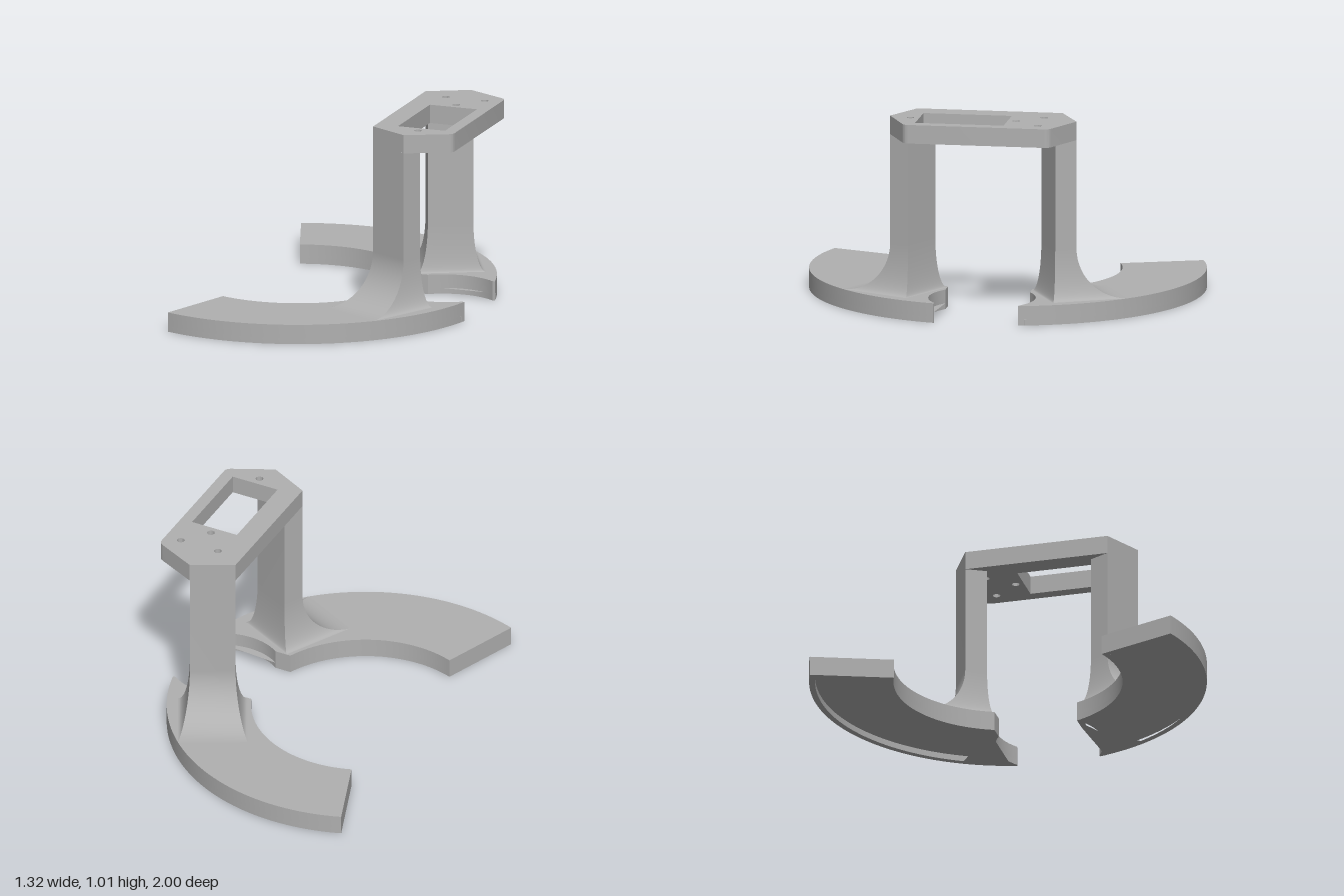
import * as THREE from 'three';
import { toCreasedNormals } from 'three/addons/utils/BufferGeometryUtils.js';

const grey = new THREE.MeshStandardMaterial({ color: 0xb0b0b0 });
grey.name = 'grey plastic';

const CX = -0.32;         // centre of the ring-shaped feet
const FOOT_TOP = 0.1, RECESS = 0.03;
const PLATE_BOTTOM = 0.915, PLATE_TOP = 1.01;

// Extrude an (x, z) shape between two heights
function slab(name, shape, y0, y1) {
  let g = new THREE.ExtrudeGeometry(shape, { depth: y1 - y0, bevelEnabled: false, curveSegments: 24 });
  g.rotateX(Math.PI / 2).translate(0, y1, 0);
  g = toCreasedNormals(g, Math.PI / 7);
  const m = new THREE.Mesh(g, grey);
  m.name = name;
  return m;
}

// Ring sector outline, inset by o; s = +1 or -1 picks the side
function footOutline(o, s) {
  const pts = [];
  const arc = (cx, cz, r, a0, a1, n) => {
    for (let i = 0; i <= n; i++) {
      const a = a0 + (a1 - a0) * i / n;
      pts.push(new THREE.Vector2(cx + r * Math.cos(a), s * (cz + r * Math.sin(a))));
    }
  };
  const R = 1 - o, r = 0.576 + o, zEnd = 0.215 + o, far = THREE.MathUtils.degToRad(110);
  const bite = 0.3 + o, b = Math.asin((zEnd + 0.03) / bite);
  arc(CX, 0, R, far - o / R, Math.asin(zEnd / R), 48);
  arc(0.47, -0.03, bite, b, Math.PI - b, 16);       // concave end
  arc(CX, 0, r, Math.asin(zEnd / r), far - o / r, 40);
  return pts;
}

// Rectangular post whose four sides sweep out into a fillet at the foot
function legGeometry(s) {
  const along = [0.89, 0.456], out = [-0.456, 0.89];
  const cx = 0.3525, cz = 0.3725, halfW = 0.115, halfD = 0.056;
  const START = 0.36, H = START - FOOT_TOP;
  const levels = [[PLATE_BOTTOM, 0]];
  for (let i = 0; i <= 14; i++) {
    const a = (Math.PI / 2) * i / 14;
    levels.push([START - H * Math.sin(a), 1 - Math.cos(a)]);
  }
  const ring = (f) => {
    const w = halfW + 0.06 * f, o = halfD + 0.25 * f, n = -halfD - 0.03 * f;
    return [[-w, o], [w, o], [w, n], [-w, n]].map(([u, v]) =>
      [cx + along[0] * u + out[0] * v, s * (cz + along[1] * u + out[1] * v)]);
  };
  const pos = [], idx = [];
  for (let side = 0; side < 4; side++) {
    const base = pos.length / 3;
    levels.forEach(([y, f], i) => {
      const c = ring(f), p = c[side], q = c[(side + 1) % 4];
      pos.push(p[0], y, p[1], q[0], y, q[1]);
      if (i === 0) return;
      const k = base + 2 * i;
      const quad = [k - 2, k, k - 1, k - 1, k, k + 1];
      idx.push(...(s > 0 ? quad : quad.reverse()));
    });
  }
  const g = new THREE.BufferGeometry();
  g.setAttribute('position', new THREE.Float32BufferAttribute(pos, 3));
  g.setIndex(idx);
  g.computeVertexNormals();
  return g;
}

function topPlate() {
  const shape = new THREE.Shape();
  shape.moveTo(0.225, -0.37);
  shape.lineTo(0.43, -0.475);
  shape.lineTo(0.63, -0.38);
  shape.quadraticCurveTo(0.655, -0.368, 0.655, -0.345);
  shape.lineTo(0.655, 0.345);
  shape.quadraticCurveTo(0.655, 0.368, 0.63, 0.38);
  shape.lineTo(0.43, 0.475);
  shape.lineTo(0.225, 0.37);
  shape.closePath();
  // Rectangular window
  shape.holes.push(new THREE.Path([[0.34, -0.13], [0.34, 0.32], [0.593, 0.32], [0.593, -0.13]]
    .map(([x, z]) => new THREE.Vector2(x, z))));
  // Screw holes
  for (const [x, z] of [[0.36, -0.3], [0.57, -0.3], [0.465, -0.172], [0.465, 0.365]]) {
    const hole = new THREE.Path();
    hole.absarc(x, z, 0.019, 0, Math.PI * 2, true);
    shape.holes.push(hole);
  }
  return slab('topPlate', shape, PLATE_BOTTOM, PLATE_TOP);
}

export function createModel() {
  const model = new THREE.Group();
  model.name = 'bracketStand';
  model.add(topPlate());
  for (const s of [1, -1]) {
    const half = new THREE.Group();
    half.name = s > 0 ? 'frontSupport' : 'backSupport';
    // Foot with a shallow recess underneath
    half.add(slab('foot', new THREE.Shape(footOutline(0, s)), RECESS, FOOT_TOP));
    const rim = new THREE.Shape(footOutline(0, s));
    rim.holes.push(new THREE.Path(footOutline(0.03, s)));
    half.add(slab('footRim', rim, 0, RECESS));
    const leg = new THREE.Mesh(legGeometry(s), grey);
    leg.name = 'leg';
    half.add(leg);
    model.add(half);
  }
  return model;
}
